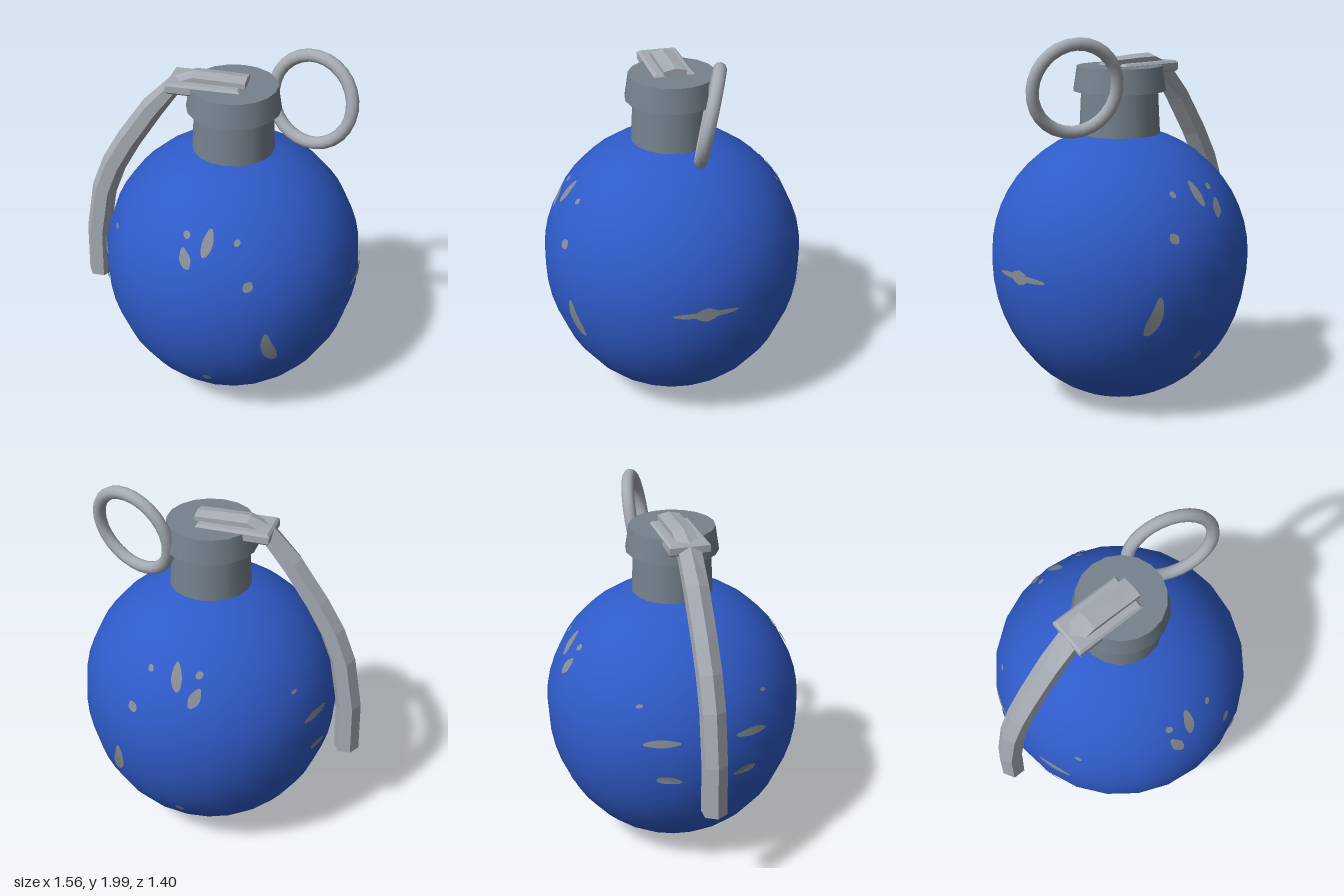
import * as THREE from 'three';

const CX = 0.076; // axis of body, neck and cap
const MID = 0.8;  // height of the widest ring

// Body radius at a height: round above, slightly stretched below
function radiusAt(y) {
  const t = y >= MID ? (y - MID) / 0.7 : (y - MID) / 0.795;
  return 0.7 * Math.sqrt(Math.max(0, 1 - t * t));
}

// Tapered strip wrapped on the body; points are [across, height, halfWidth]
function wornStroke(points, place) {
  const curve = new THREE.CatmullRomCurve3(points.map(p => new THREE.Vector3(...p)));
  const n = 12, pos = [], index = [];
  for (let i = 0; i <= n; i++) {
    const t = i / n, p = curve.getPoint(t), d = curve.getTangent(t);
    const len = Math.hypot(d.x, d.y) || 1;
    const w = p.z * (0.3 + 0.7 * Math.sqrt(Math.sin(Math.PI * t) + 1e-6));
    for (const s of [-1, 1]) pos.push(...place(p.x - s * w * d.y / len, p.y + s * w * d.x / len));
    if (i < n) {
      const a = i * 2;
      index.push(a, a + 2, a + 1, a + 1, a + 2, a + 3);
    }
  }
  const g = new THREE.BufferGeometry();
  g.setAttribute('position', new THREE.Float32BufferAttribute(pos, 3));
  g.setIndex(index);
  g.computeVertexNormals();
  return g;
}

// Hexagonal bar; sections are [x, y, halfThickness]
function hexBar(sections) {
  const path = sections.map(s => new THREE.Vector3(s[0], s[1], 0));
  const pos = [], index = [], last = path.length - 1;
  path.forEach((p, i) => {
    const d = path[Math.min(i + 1, last)].clone().sub(path[Math.max(i - 1, 0)]).normalize();
    for (let k = 0; k < 6; k++) {
      const a = k * Math.PI / 3, o = Math.cos(a) * sections[i][2];
      pos.push(p.x - d.y * o, p.y + d.x * o, Math.sin(a) * 0.069);
      if (i < last) {
        const b = i * 6 + k, c = i * 6 + (k + 1) % 6;
        index.push(b, b + 6, c, c, b + 6, c + 6);
      }
    }
  });
  for (let k = 1; k < 5; k++) {
    index.push(0, k, k + 1);
    index.push(last * 6, last * 6 + k + 1, last * 6 + k);
  }
  const g = new THREE.BufferGeometry();
  g.setAttribute('position', new THREE.Float32BufferAttribute(pos, 3));
  g.setIndex(index);
  const flat = g.toNonIndexed();
  flat.computeVertexNormals();
  return flat;
}

export function createModel() {
  const group = new THREE.Group();
  const material = (name, color, extra = {}) => {
    const m = new THREE.MeshStandardMaterial({ color, ...extra });
    m.name = name;
    return m;
  };
  const blue = material('blue paint', 0x2f5bc8);
  const steel = material('dark steel', 0x76828e);
  const light = material('light steel', 0xa6abb4, { side: THREE.DoubleSide });
  const worn = material('worn metal', 0x858c92, { side: THREE.DoubleSide });
  const add = (name, geometry, mat, x = 0, y = 0, z = 0) => {
    const mesh = new THREE.Mesh(geometry, mat);
    mesh.name = name;
    mesh.position.set(x, y, z);
    group.add(mesh);
    return mesh;
  };

  // Egg-shaped body
  const profile = [];
  for (let i = 0; i <= 24; i++) {
    const y = MID - Math.cos(Math.PI * i / 24) * (i <= 12 ? 0.795 : 0.7);
    profile.push(new THREE.Vector2(i === 0 || i === 24 ? 0 : radiusAt(y), y));
  }
  add('body', new THREE.LatheGeometry(profile, 24), blue, CX);

  // Neck and flared cap
  add('neck', new THREE.CylinderGeometry(0.205, 0.218, 0.26, 18), steel, CX, 1.58);
  add('cap', new THREE.CylinderGeometry(0.228, 0.248, 0.13, 18), steel, CX, 1.758);

  // Curved lever, flattening into a tongue over the cap
  add('lever', hexBar([
    [-0.708, 0.53, 0.069], [-0.702, 0.82, 0.069], [-0.655, 1.1, 0.069], [-0.59, 1.27, 0.068],
    [-0.5, 1.43, 0.066], [-0.36, 1.64, 0.062], [-0.23, 1.795, 0.045], [-0.13, 1.845, 0.034],
    [0, 1.846, 0.03], [0.145, 1.845, 0.024],
  ]), light);

  // Chamfered bracket under the tongue
  const plate = new THREE.Shape();
  plate.moveTo(-0.25, -0.095);
  plate.lineTo(0.115, -0.095);
  plate.lineTo(0.115, 0.095);
  plate.lineTo(-0.25, 0.095);
  const bracket = new THREE.ExtrudeGeometry(plate, {
    depth: 0.036, bevelEnabled: true, bevelThickness: 0.012, bevelSize: 0.012, bevelSegments: 1,
  });
  bracket.rotateX(-Math.PI / 2);
  add('leverBracket', bracket, light, 0, 1.788);

  // Pull ring, leaning and turned
  const ring = add('pullRing', new THREE.TorusGeometry(0.23, 0.034, 10, 28), light, 0.467, 1.738, -0.09);
  ring.rotation.set(-0.18, -0.34, 0, 'YXZ');

  // Worn patches, the same on front and back
  const patches = [
    [[0.06, 1.155, 0.022], [0.075, 1.21, 0.028], [0.085, 1.275, 0.02]],
    [[-0.05, 1.18, 0.018], [-0.03, 1.13, 0.03], [-0.01, 1.09, 0.02]],
    [[-0.055, 1.237, 0.014], [-0.035, 1.235, 0.016], [-0.018, 1.235, 0.014]],
    [[0.208, 1.232, 0.014], [0.22, 1.226, 0.015], [0.235, 1.22, 0.014]],
    [[0.275, 1.04, 0.02], [0.295, 1.028, 0.028], [0.318, 1.015, 0.02]],
    [[0.392, 0.745, 0.02], [0.395, 0.67, 0.028], [0.41, 0.6, 0.034], [0.43, 0.54, 0.03]],
    [[0.05, 0.362, 0.018], [0.072, 0.358, 0.025], [0.097, 0.352, 0.018]],
    [[-0.6, 0.905, 0.018], [-0.57, 0.902, 0.022], [-0.535, 0.893, 0.014]],
    [[-0.6, 0.69, 0.022], [-0.585, 0.685, 0.024], [-0.568, 0.67, 0.014]],
    [[-0.482, 1.085, 0.01], [-0.474, 1.083, 0.01], [-0.465, 1.08, 0.01]],
  ];
  const LIFT = 0.003;
  for (const side of [1, -1]) {
    const place = (x, y) => {
      const r = radiusAt(y), a = Math.asin(THREE.MathUtils.clamp((x - CX) / r, -0.999, 0.999));
      return [CX + (r + LIFT) * Math.sin(a), y, side * (r + LIFT) * Math.cos(a)];
    };
    for (const p of patches) add(side > 0 ? 'frontWear' : 'backWear', wornStroke(p, place), worn);
  }

  // Long scratch with a wider middle on the left side
  const placeSide = (z, y) => {
    const r = radiusAt(y) + LIFT;
    return [CX + Math.sqrt(r * r - z * z), y, z];
  };
  add('sideScratch', wornStroke([[-0.17, 0.795, 0.016], [0, 0.796, 0.017], [0.17, 0.795, 0.016]], placeSide), worn);
  add('sideScratchMiddle', wornStroke([[-0.06, 0.796, 0.03], [0, 0.796, 0.038], [0.06, 0.796, 0.03]],
    (z, y) => { const p = placeSide(z, y); p[0] += 0.001; return p; }), worn);

  return group;
}
